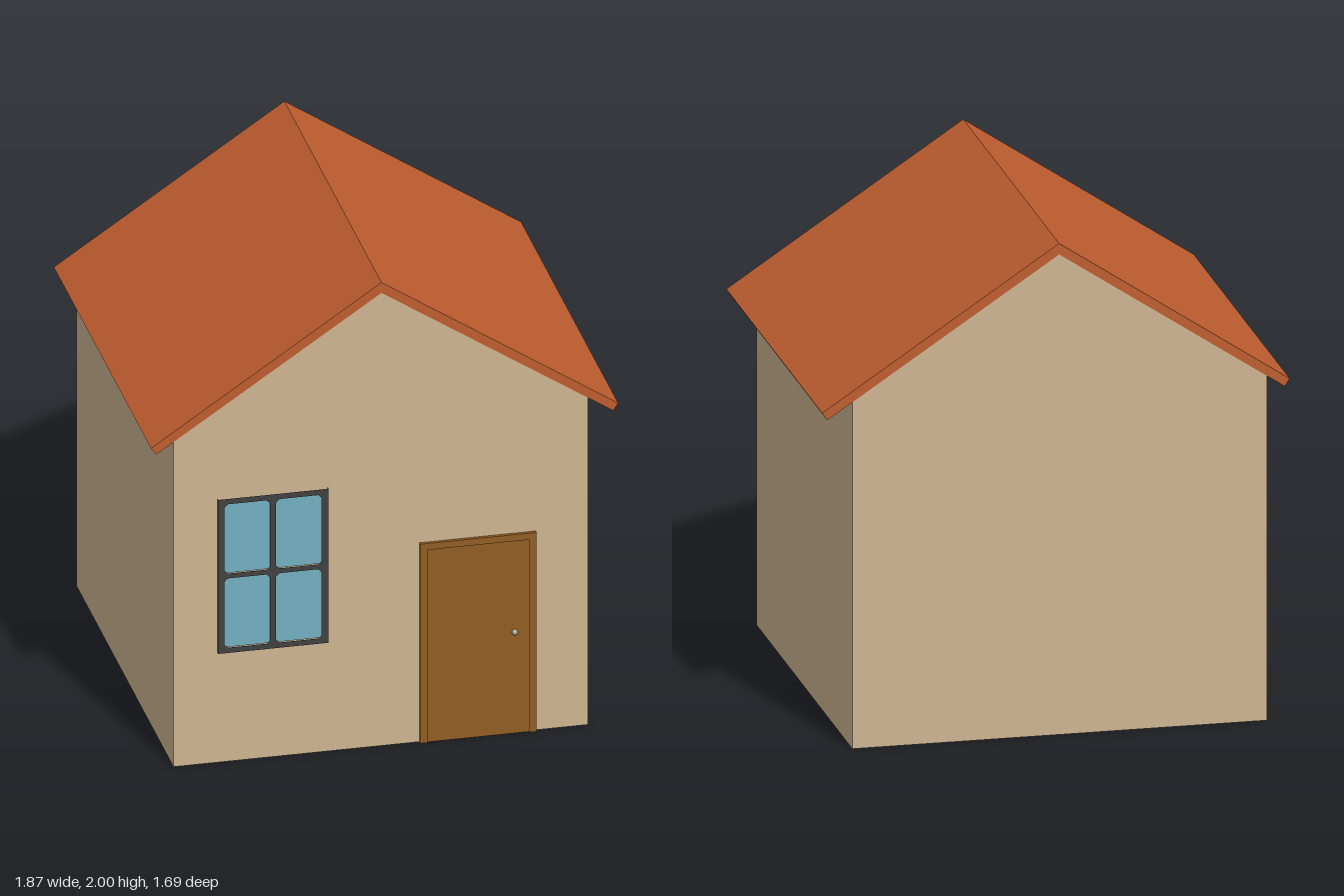
import * as THREE from 'three';

const mat = (name, color) => {
  const m = new THREE.MeshStandardMaterial({ color });
  m.name = name;
  m.side = THREE.DoubleSide;
  return m;
};

const BACK = -0.845, FRONT = 0.815, FACE = 0.83, INSIDE = 0.797;

function outline(points, ShapeType = THREE.Shape) {
  return new ShapeType(points.map(([x, y]) => new THREE.Vector2(x, y)));
}

// Rectangle with clipped corners
function clippedRect(x0, x1, y0, y1, c) {
  return outline([
    [x0 + c, y0], [x1 - c, y0], [x1, y0 + c], [x1, y1 - c],
    [x1 - c, y1], [x0 + c, y1], [x0, y1 - c], [x0, y0 + c],
  ], THREE.Path);
}

export function createModel() {
  const house = new THREE.Group();
  house.name = 'house';
  const wallMat = mat('plaster', 0xcfb592);
  const roofMat = mat('roofTile', 0xbf5d2f);
  const doorMat = mat('doorWood', 0x915d22);
  const frameMat = mat('windowFrame', 0x424141);
  const glassMat = mat('glass', 0x74b0c2);
  const knobMat = mat('knobMetal', 0xaba596);

  const add = (parent, name, geometry, material, x = 0, y = 0, z = 0) => {
    const mesh = new THREE.Mesh(geometry, material);
    mesh.name = name;
    mesh.position.set(x, y, z);
    parent.add(mesh);
    return mesh;
  };

  // Thin reveal running through the front wall beside an opening
  const reveal = (parent, name, x, y0, y1, material) => {
    const depth = FACE - INSIDE;
    const side = add(parent, name, new THREE.PlaneGeometry(depth, y1 - y0), material,
      x, (y0 + y1) / 2, INSIDE + depth / 2);
    side.rotation.y = x > (parent.userData.middle ?? 0) ? Math.PI / 2 : -Math.PI / 2;
  };

  // Walls: open shell without a floor
  const walls = new THREE.Group();
  walls.name = 'walls';
  house.add(walls);
  const XL = -0.845, XR = 0.81, EAVE_L = 1.402, EAVE_R = 1.411;
  const gable = new THREE.ShapeGeometry(outline([
    [XL, 0], [XR, 0], [XR, EAVE_R], [-0.015, 1.955], [XL, EAVE_L],
  ]));
  add(walls, 'frontWall', gable, wallMat, 0, 0, FRONT);
  const backGable = new THREE.ShapeGeometry(outline([
    [-XR, 0], [-XL, 0], [-XL, EAVE_L], [0.015, 1.955], [-XR, EAVE_R],
  ]));
  add(walls, 'backWall', backGable, wallMat, 0, 0, BACK).rotation.y = Math.PI;
  for (const [name, x, h, turn] of [['leftWall', XR, EAVE_R, 1], ['rightWall', XL, EAVE_L, -1]]) {
    add(walls, name, new THREE.PlaneGeometry(FRONT - BACK, h), wallMat,
      x, h / 2, (FRONT + BACK) / 2).rotation.y = turn * Math.PI / 2;
  }

  // Roof: bent slab with the ridge running front to back
  add(house, 'roof', new THREE.ExtrudeGeometry(outline([
    [-0.015, 2], [-0.935, 1.385], [-0.915, 1.355],
    [-0.015, 1.955], [0.91, 1.345], [0.93, 1.375],
  ]), { depth: FRONT - BACK, bevelEnabled: false }), roofMat, 0, 0, BACK);

  // Window: frame plate with four openings, panes set just behind
  const win = new THREE.Group();
  win.name = 'window';
  win.userData.middle = -0.45;
  house.add(win);
  const frame = outline([[-0.67, 0.475], [-0.23, 0.475], [-0.23, 1.14], [-0.67, 1.14]]);
  for (const [x0, x1] of [[-0.645, -0.463], [-0.439, -0.257]]) {
    for (const [y0, y1] of [[0.498, 0.797], [0.818, 1.117]]) {
      frame.holes.push(clippedRect(x0, x1, y0, y1, 0.014));
      add(win, 'pane', new THREE.PlaneGeometry(x1 - x0, y1 - y0), glassMat,
        (x0 + x1) / 2, (y0 + y1) / 2, 0.824);
    }
  }
  add(win, 'windowFrame', new THREE.ShapeGeometry(frame), frameMat, 0, 0, FACE);
  for (const x of [-0.67, -0.23]) reveal(win, 'windowReveal', x, 0.475, 1.14, frameMat);

  // Door: surround, slightly recessed leaf and round knob
  const door = new THREE.Group();
  door.name = 'door';
  door.userData.middle = 0.368;
  house.add(door);
  add(door, 'doorFrame', new THREE.ExtrudeGeometry(outline([
    [0.136, 0], [0.165, 0], [0.165, 0.832], [0.571, 0.832],
    [0.571, 0], [0.6, 0], [0.6, 0.86], [0.136, 0.86],
  ]), { depth: FACE - FRONT - 0.001, bevelEnabled: false }), doorMat, 0, 0, FRONT + 0.001);
  add(door, 'doorLeaf', new THREE.BoxGeometry(0.406, 0.832, 0.007), doorMat, 0.368, 0.416, 0.8205);
  for (const x of [0.136, 0.6]) reveal(door, 'doorReveal', x, 0, 0.86, doorMat);
  add(door, 'doorKnob', new THREE.SphereGeometry(0.012, 16, 12), knobMat, 0.514, 0.438, 0.829);

  return house;
}
